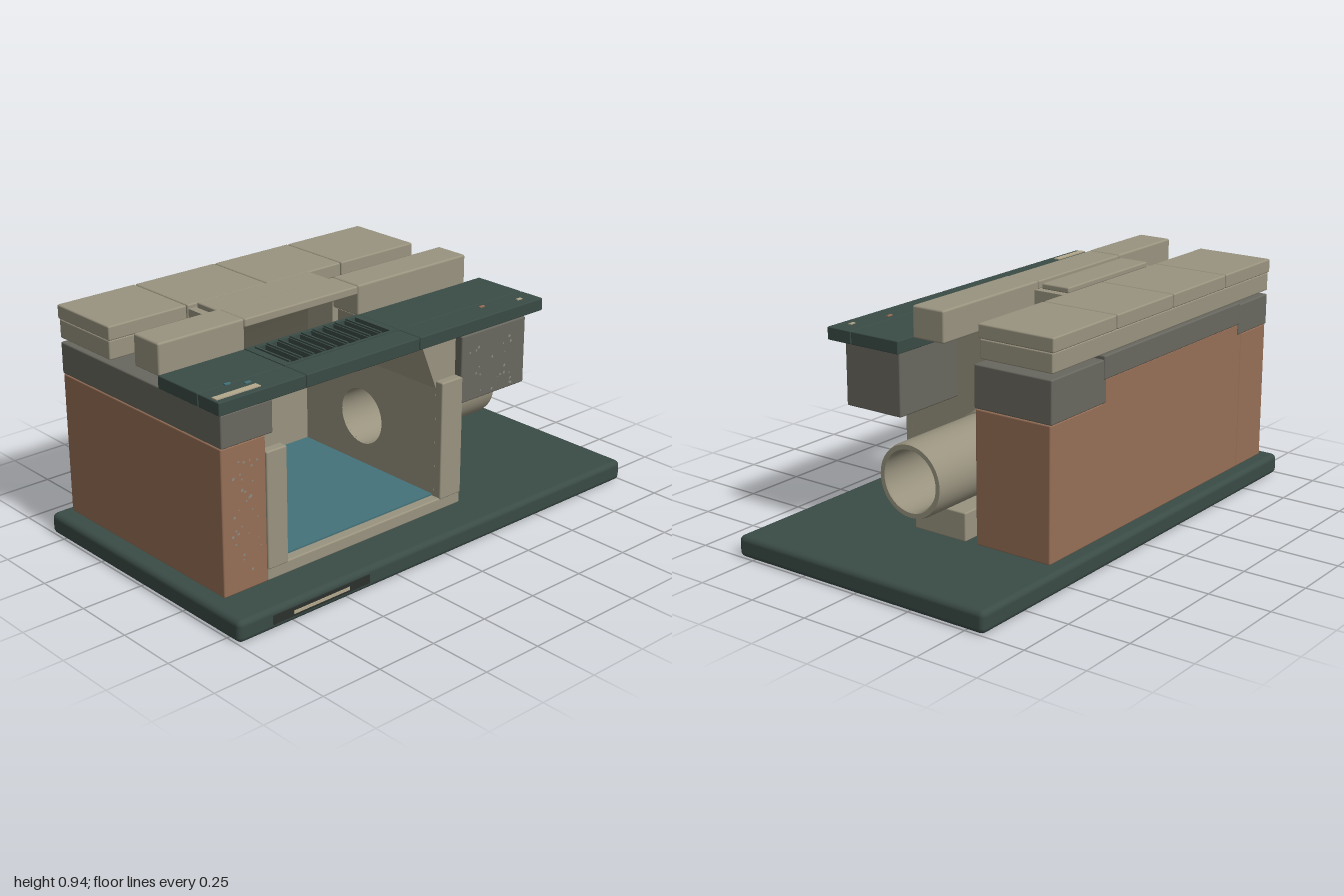
import * as THREE from 'three';
import { toCreasedNormals } from 'three/addons/utils/BufferGeometryUtils.js';
import { RoundedBoxGeometry } from 'three/addons/geometries/RoundedBoxGeometry.js';

const mat = (name, color) => {
  const m = new THREE.MeshStandardMaterial({ color });
  m.name = name;
  return m;
};

export function createModel() {
  const model = new THREE.Group();
  model.name = 'streetDrainCutaway';
  const concrete = mat('concrete', 0x99937f);
  const soil = mat('soil', 0x966f56);
  const gravel = mat('gravel', 0x68675f);
  const green = mat('darkGreen', 0x3a4b46);
  const water = mat('water', 0x44727a);
  const tan = mat('tan', 0xb3a88c);
  const pebble = mat('pebble', 0x8b8a82);
  const dark = mat('darkJoint', 0x2a302c);

  const add = (name, geo, material, parent = model) => {
    const mesh = new THREE.Mesh(geo, material);
    mesh.name = name;
    parent.add(mesh);
    return mesh;
  };
  // Box from its limits, with a small bevel where r > 0
  const box = (name, material, x0, x1, y0, y1, z0, z1, r = 0.006) => {
    const s = [x1 - x0, y1 - y0, z1 - z0];
    const geo = r > 0 ? new RoundedBoxGeometry(...s, 2, r) : new THREE.BoxGeometry(...s);
    geo.translate((x0 + x1) / 2, (y0 + y1) / 2, (z0 + z1) / 2);
    return add(name, geo, material);
  };
  const poly = (pts) => new THREE.Shape(pts.map(([a, b]) => new THREE.Vector2(a, b)));
  const extrude = (shape, depth) =>
    new THREE.ExtrudeGeometry(shape, { depth, bevelEnabled: false, curveSegments: 40 });

  // Display base
  box('base', green, -1, 1, 0, 0.085, -0.58, 0.57, 0.022);
  box('baseLabel', dark, -0.85, -0.4, 0.025, 0.06, 0.568, 0.574, 0);
  box('baseLabelStrip', tan, -0.76, -0.5, 0.035, 0.047, 0.572, 0.577, 0);

  // Ground around the chamber
  box('soilLeft', soil, -0.935, -0.74, 0.09, 0.655, -0.53, 0.41);
  box('soilBack', soil, -0.742, 0.24, 0.09, 0.7, -0.53, -0.425);
  box('soilRight', soil, 0.22, 0.555, 0.09, 0.61, -0.53, -0.2);
  box('gravelLeft', gravel, -0.935, -0.71, 0.655, 0.78, -0.535, 0.415);
  box('gravelBack', gravel, -0.71, 0.24, 0.7, 0.79, -0.54, -0.425);
  box('gravelRight', gravel, 0.22, 0.555, 0.61, 0.775, -0.535, -0.195);
  box('gravelFront', gravel, 0.21, 0.555, 0.505, 0.775, 0.15, 0.415);

  // Chamber floor, walls and water
  box('chamberFloor', concrete, -0.74, 0.22, 0.09, 0.14, -0.425, 0.41);
  box('waterSurface', water, -0.65, 0.11, 0.14, 0.147, -0.36, 0.37, 0);
  box('chamberBackWall', concrete, -0.74, 0.22, 0.14, 0.6, -0.425, -0.36, 0);
  box('chamberLeftWall', concrete, -0.74, -0.65, 0.14, 0.59, -0.425, 0.38, 0);
  const wall = poly([[-0.38, 0.14], [0.425, 0.14], [0.425, 0.61], [-0.38, 0.61]]);
  wall.holes.push(new THREE.Path().absarc(0.03, 0.345, 0.115, 0, Math.PI * 2, true));
  const wallGeo = extrude(wall, 0.11);
  wallGeo.rotateY(Math.PI / 2).translate(0.11, 0, 0);
  add('chamberRightWall', wallGeo, concrete);
  box('leftFlange', concrete, -0.74, -0.648, 0.135, 0.59, 0.375, 0.415);
  box('rightFlange', concrete, 0.11, 0.22, 0.135, 0.615, 0.375, 0.415);
  box('backJoint', dark, -0.65, 0.11, 0.368, 0.374, -0.362, -0.357, 0);
  box('leftJoint', dark, -0.652, -0.647, 0.368, 0.374, -0.36, 0.375, 0);

  // Tapered cheeks closing in below the gutter; mirrored about the chamber centre
  const mid = -0.27;
  for (const [top, z0, z1] of [[0.8, -0.21, 0.08], [0.78, 0.08, 0.38], [0.78, -0.425, -0.21]]) {
    for (const side of [-1, 1]) {
      const pts = [[0.38, 0.585], [0.49, 0.585], [0.49, top], [0.3, top]].map(([a, y]) => {
        const edge = side < 0 && a > 0.4 ? 0.455 : a;
        return [mid + side * edge, y];
      });
      const geo = extrude(poly(pts), z1 - z0);
      geo.translate(0, 0, z0);
      add(side < 0 ? 'leftCheek' : 'rightCheek', geo, concrete);
    }
  }

  // Sloping back of the throat, rising forward to the kerb inlet
  const rows = [[0.38, 0.575, -0.36], [0.285, 0.79, -0.19], [0.285, 0.912, -0.08]];
  const verts = rows.flatMap(([h, y, z]) => [mid - h, y, z, mid + h, y, z]);
  const slope = new THREE.BufferGeometry();
  slope.setAttribute('position', new THREE.Float32BufferAttribute(verts, 3));
  slope.setIndex([0, 1, 3, 0, 3, 2, 2, 3, 5, 2, 5, 4]);
  add('throatSlope', toCreasedNormals(slope, 0.1), concrete);

  // Inlet box behind the kerb, with its cover
  box('inletLeftSide', concrete, -0.59, -0.56, 0.69, 0.91, -0.205, -0.06, 0);
  box('inletRightSide', concrete, -0.015, 0.012, 0.69, 0.91, -0.205, -0.06, 0);
  box('inletBack', concrete, -0.56, -0.015, 0.79, 0.91, -0.205, -0.192, 0);
  box('inletTop', concrete, -0.59, 0.012, 0.9, 0.913, -0.205, -0.06, 0);
  box('inletCover', concrete, -0.56, -0.02, 0.912, 0.935, -0.195, -0.07);

  // Outlet pipe with collar and support
  const tube = (name, pts, sides) => {
    const geo = new THREE.LatheGeometry(pts.map(([r, x]) => new THREE.Vector2(r, x)), sides);
    geo.rotateZ(-Math.PI / 2).translate(0, 0.345, -0.03);
    add(name, toCreasedNormals(geo, 0.6), concrete);
  };
  tube('outletPipe', [[0.115, 0.12], [0.143, 0.12], [0.143, 0.7], [0.138, 0.72], [0.12, 0.72],
    [0.115, 0.712], [0.115, 0.12]], 48);
  tube('pipeCollar', [[0.14, 0.215], [0.157, 0.215], [0.157, 0.225], [0.15, 0.23], [0.15, 0.288],
    [0.14, 0.29]], 48);
  box('pipeSupport', concrete, 0.33, 0.555, 0.087, 0.2, -0.15, 0.09);

  // Gutter slabs, back and front strips, with a slotted grate in the middle
  const cuts = [-0.945, -0.561, -0.015, 0.645];
  for (let i = 0; i < 3; i++) {
    const x0 = cuts[i] + 0.001, x1 = cuts[i + 1] - 0.001;
    box('gutterFront', green, x0, x1, 0.78, 0.83, 0.306, 0.42, 0.004);
    if (i !== 1) box('gutterBack', green, x0, x1, 0.78, 0.83, 0.08, 0.304, 0.004);
  }
  const grate = poly([[-0.56, -0.304], [-0.016, -0.304], [-0.016, -0.08], [-0.56, -0.08]]);
  for (let i = 0; i < 9; i++) {
    const x = -0.517 + i * 0.0545;
    grate.holes.push(new THREE.Path([[x, -0.29], [x, -0.1], [x + 0.037, -0.1], [x + 0.037, -0.29]]
      .map(([a, b]) => new THREE.Vector2(a, b))));
    box('grateRib', green, x - 0.012, x - 0.004, 0.825, 0.836, 0.1, 0.29, 0);
  }
  const grateGeo = extrude(grate, 0.05);
  grateGeo.rotateX(-Math.PI / 2).translate(0, 0.78, 0);
  add('grate', grateGeo, green);
  box('gutterStrip', tan, -0.935, -0.745, 0.829, 0.834, 0.37, 0.397, 0);
  [[-0.83, 0.3, water], [-0.77, 0.335, water], [0.38, 0.33, soil], [0.55, 0.365, tan]]
    .forEach(([x, z, m]) => box('debris', m, x, x + 0.025, 0.829, 0.834, z, z + 0.012, 0));

  // Kerb: two full stones and a lintel over the inlet
  box('kerbLeft', concrete, -0.94, -0.561, 0.822, 0.945, -0.06, 0.085, 0.008);
  box('kerbRight', concrete, -0.015, 0.555, 0.822, 0.945, -0.06, 0.085, 0.008);
  box('kerbLintel', concrete, -0.56, -0.016, 0.91, 0.943, -0.06, 0.085);

  // Two layers of paving
  const joints = [-0.94, -0.59, -0.21, 0.165, 0.555];
  for (let i = 0; i < 4; i++) {
    box('paver', concrete, joints[i] + 0.002, joints[i + 1] - 0.002, 0.87, 0.925, -0.54, -0.213);
  }
  box('pavingBed', concrete, -0.935, 0.55, 0.795, 0.87, -0.535, -0.218);

  // Pebbles scattered on the cut faces
  let seed = 7;
  const rnd = () => (seed = (seed * 16807) % 2147483647) / 2147483647;
  const scatter = (n, x0, x1, y0, y1, z) => {
    for (let i = 0; i < n; i++) {
      const geo = new THREE.CircleGeometry(0.003 + rnd() * 0.004, 5);
      geo.translate(x0 + rnd() * (x1 - x0), y0 + rnd() * (y1 - y0), z);
      add('pebble', geo, pebble);
    }
  };
  scatter(30, -0.9, -0.77, 0.14, 0.62, 0.413);
  scatter(22, 0.25, 0.5, 0.52, 0.72, 0.418);

  return model;
}
